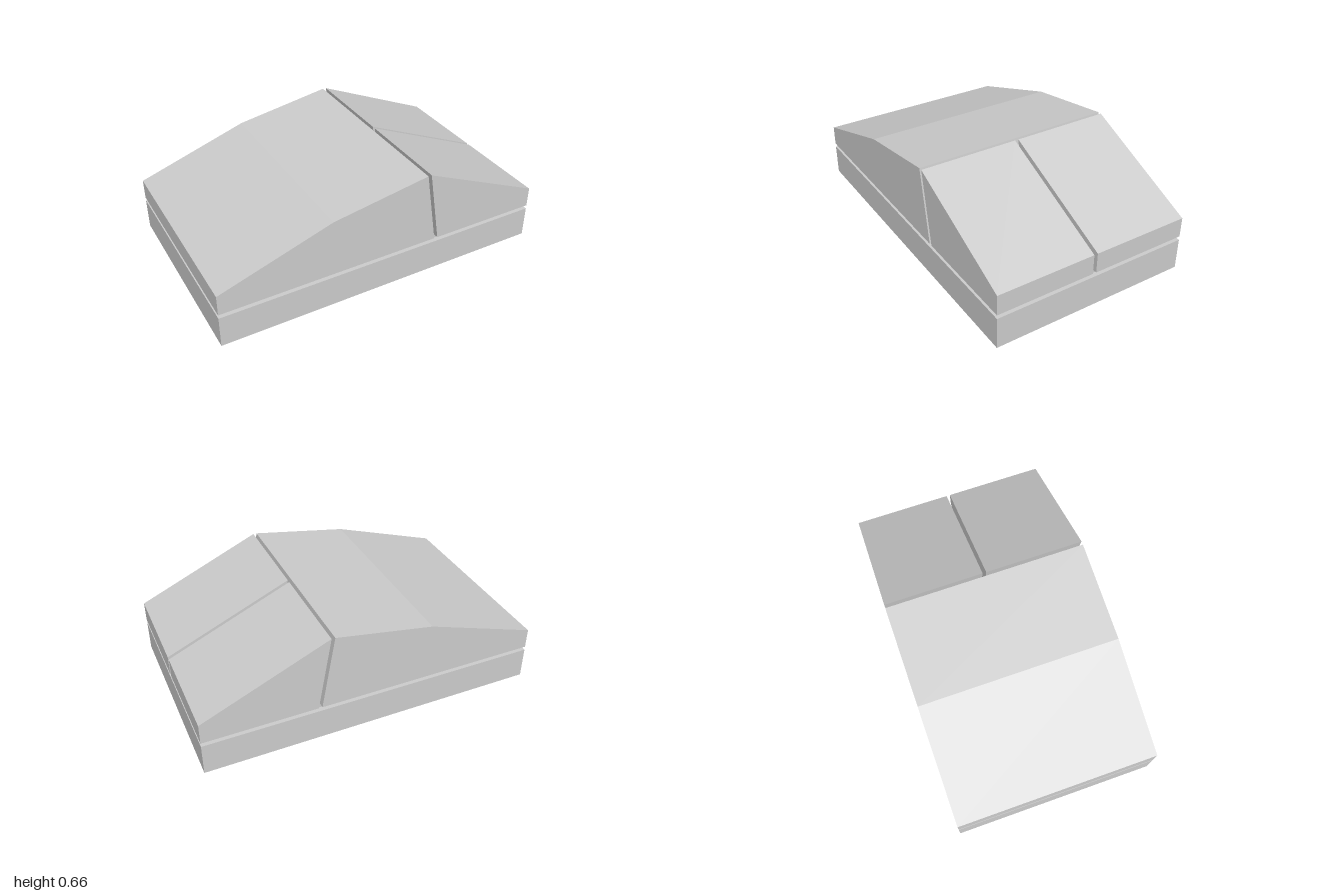
import * as THREE from 'three';

const material = new THREE.MeshStandardMaterial({ color: 0xcccccc, flatShading: true });

// Side profile (x, y) extruded between two z positions
function slab(name, profile, z0, z1) {
  const shape = new THREE.Shape(profile.map(([x, y]) => new THREE.Vector2(x, y)));
  const geometry = new THREE.ExtrudeGeometry(shape, { depth: z1 - z0, bevelEnabled: false });
  geometry.translate(0, 0, z0);
  const mesh = new THREE.Mesh(geometry, material);
  mesh.name = name;
  return mesh;
}

function block(name, width, depth, y0, y1) {
  const mesh = new THREE.Mesh(new THREE.BoxGeometry(width, y1 - y0, depth), material);
  mesh.position.y = (y0 + y1) / 2;
  mesh.name = name;
  return mesh;
}

export function createModel() {
  const group = new THREE.Group();
  group.name = 'computerMouse';
  const halfDepth = 0.6, halfGap = 0.011, seamY = 0.213;

  // Lower case and the recessed seam above it
  group.add(block('base', 2, 2 * halfDepth, 0, 0.19));
  group.add(block('recessedSeam', 1.94, 1.14, 0.19, seamY));

  // Palm rest with its slanted front wall
  group.add(slab('palmRest', [
    [-1, seamY], [0.32, seamY], [0.245, 0.657], [-0.335, 0.558], [-1, 0.335],
  ], -halfDepth, halfDepth));

  // Two buttons separated by a narrow groove
  const button = [[0.341, seamY], [1, seamY], [1, 0.335], [0.266, 0.657]];
  group.add(slab('buttonFront', button, halfGap, halfDepth));
  group.add(slab('buttonBack', button, -halfDepth, -halfGap));

  return group;
}
